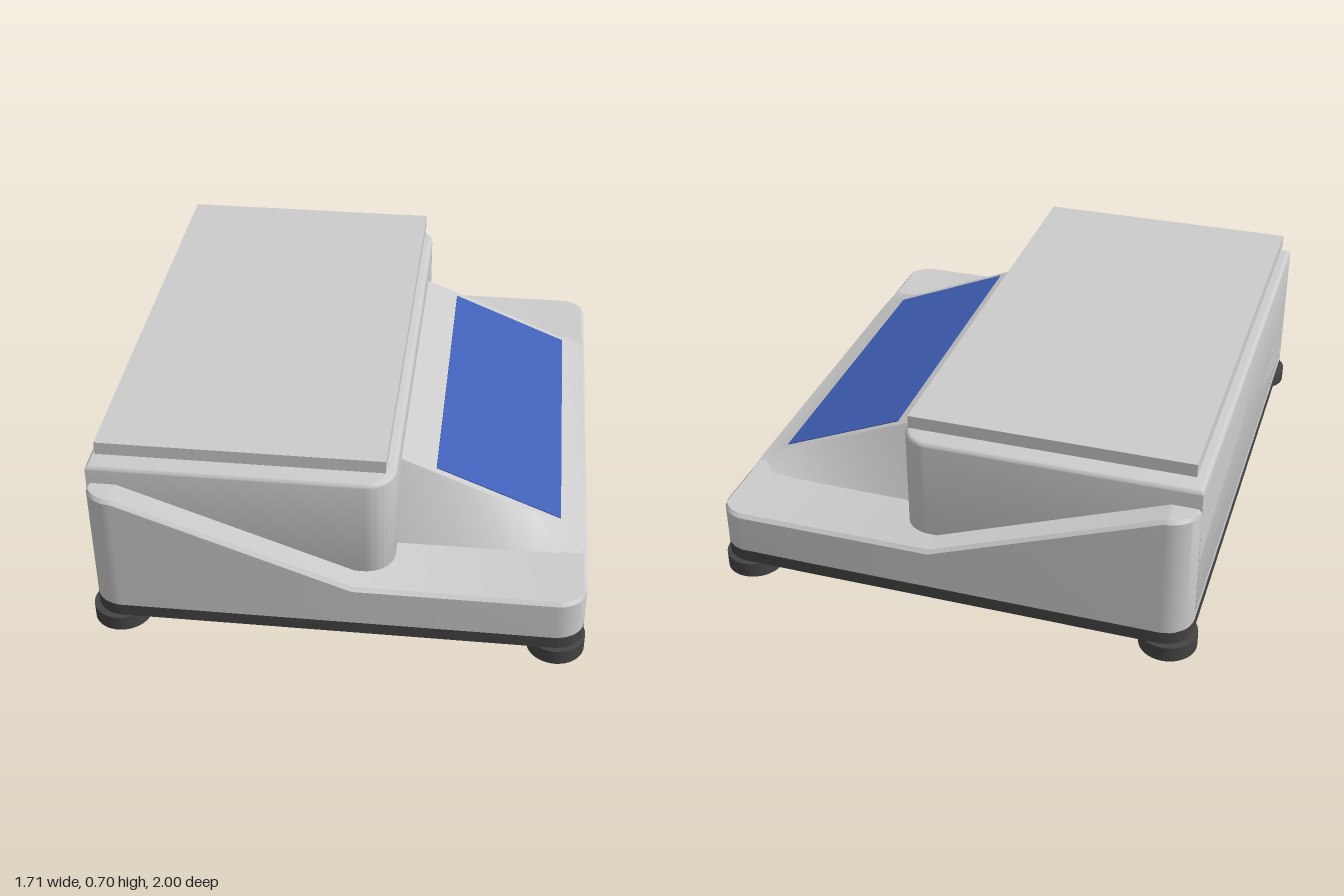
import * as THREE from 'three';
import { toCreasedNormals } from 'three/addons/utils/BufferGeometryUtils.js';

const grey = new THREE.MeshStandardMaterial({ color: 0xcccccc });
const dark = new THREE.MeshStandardMaterial({ color: 0x444444 });
const blue = new THREE.MeshStandardMaterial({ color: 0x4060b8 });

const X0 = -0.84, X1 = 0.845, HALF = 0.985, R = 0.1, EDGE = 0.012;

// Closed solid through cross-sections { x, loop: [[z, y], ...] } ordered along +x
function loft(sections) {
  const pos = [];
  const n = sections[0].loop.length;
  const put = (s, j) => pos.push(s.x, s.loop[j % n][1], s.loop[j % n][0]);
  for (let i = 0; i < sections.length - 1; i++) {
    const a = sections[i], b = sections[i + 1];
    for (let j = 0; j < n; j++) {
      put(a, j); put(a, j + 1); put(b, j + 1);
      put(a, j); put(b, j + 1); put(b, j);
    }
  }
  const first = sections[0], last = sections[sections.length - 1];
  for (let j = 1; j < n - 1; j++) {
    put(first, 0); put(first, j + 1); put(first, j);
    put(last, 0); put(last, j); put(last, j + 1);
  }
  const g = new THREE.BufferGeometry();
  g.setAttribute('position', new THREE.Float32BufferAttribute(pos, 3));
  return toCreasedNormals(g, 0.5);
}

// Half width of the rounded footprint at x
function halfWidth(x) {
  const d = Math.min(x - X0, X1 - x);
  return d >= R ? HALF : HALF - R + Math.sqrt(Math.max(0, R * R - (R - d) ** 2));
}

// Stations along x, dense in the rounded corners
function stations(extra) {
  const xs = [...extra];
  for (let i = 0; i <= 10; i++) {
    const d = R * (1 - Math.cos((i / 10) * Math.PI / 2));
    xs.push(X0 + d, X1 - d);
  }
  return xs.sort((a, b) => a - b);
}

// Height of the casing: high at the back, sloping down to a low deck
function casingHeight(x) {
  const t = THREE.MathUtils.clamp((x + 0.74) / 0.8, 0, 1);
  const h = THREE.MathUtils.lerp(0.555, 0.255, t);
  const d = Math.min(x - X0, X1 - x);
  return h - Math.max(0, EDGE - d);
}

export function createModel() {
  const model = new THREE.Group();
  const add = (name, geometry, material, x = 0, y = 0, z = 0) => {
    const m = new THREE.Mesh(geometry, material);
    m.name = name;
    m.position.set(x, y, z);
    model.add(m);
    return m;
  };

  // Casing with a softened upper edge
  add('casing', loft(stations([-0.74, 0.06, X0 + EDGE, X1 - EDGE]).map((x) => {
    const w = halfWidth(x), h = casingHeight(x);
    return { x, loop: [[-w, 0.105], [-w, h - EDGE], [-w + EDGE, h], [w - EDGE, h], [w, h - EDGE], [w, 0.105]] };
  })), grey);

  // Dark bottom tray
  add('bottomTray', loft(stations([]).map((x) => {
    const w = halfWidth(x);
    return { x, loop: [[-w, 0.06], [-w, 0.106], [w, 0.106], [w, 0.06]] };
  })), dark);

  // Raised housing, rounded on the display side
  const bevel = 0.016, l = X0 + bevel, r = 0.19 - bevel, w = 0.89 - bevel, c = 0.1 - bevel;
  const plan = new THREE.Shape();
  plan.moveTo(l, -w);
  plan.lineTo(r - c, -w);
  plan.absarc(r - c, -w + c, c, -Math.PI / 2, 0, false);
  plan.lineTo(r, w - c);
  plan.absarc(r - c, w - c, c, 0, Math.PI / 2, false);
  plan.lineTo(l, w);
  plan.closePath();
  const housing = new THREE.ExtrudeGeometry(plan, {
    depth: 0.5 - 2 * bevel, bevelSize: bevel, bevelThickness: bevel, bevelSegments: 4, curveSegments: 10,
  });
  housing.rotateX(-Math.PI / 2);
  add('raisedHousing', toCreasedNormals(housing, 0.6), grey, 0, 0.122 + bevel, 0);

  // Sloped display console with splayed cheeks
  const slope = 0.42;
  const consoleY = (x) => 0.53 - slope * (x - 0.19);
  const consoleSections = [];
  for (let i = 0; i <= 8; i++) {
    const x = 0.15 + (0.838 - 0.15) * (i / 8);
    const y = consoleY(x);
    consoleSections.push({ x, loop: [[-0.73, 0.25], [-0.61, y], [0.61, y], [0.73, 0.25]] });
  }
  add('displayConsole', loft(consoleSections), grey);

  // Display panel lying on the slope
  const panel = add('displayPanel', new THREE.BoxGeometry(0.477, 0.006, 1.166), blue, 0.53, consoleY(0.53), 0);
  panel.rotation.z = -Math.atan(slope);

  // Weighing platter on its support
  add('platterSupport', new THREE.BoxGeometry(0.43, 0.04, 0.76), dark, -0.325, 0.635, 0);
  add('platter', new THREE.BoxGeometry(0.97, 0.046, 1.71), grey, -0.325, 0.674, 0);

  // Four round feet
  for (const x of [-0.757, 0.753]) {
    for (const z of [-0.9, 0.9]) {
      add('foot', new THREE.CylinderGeometry(0.099, 0.099, 0.055, 40), dark, x, 0.0275, z);
    }
  }
  return model;
}
